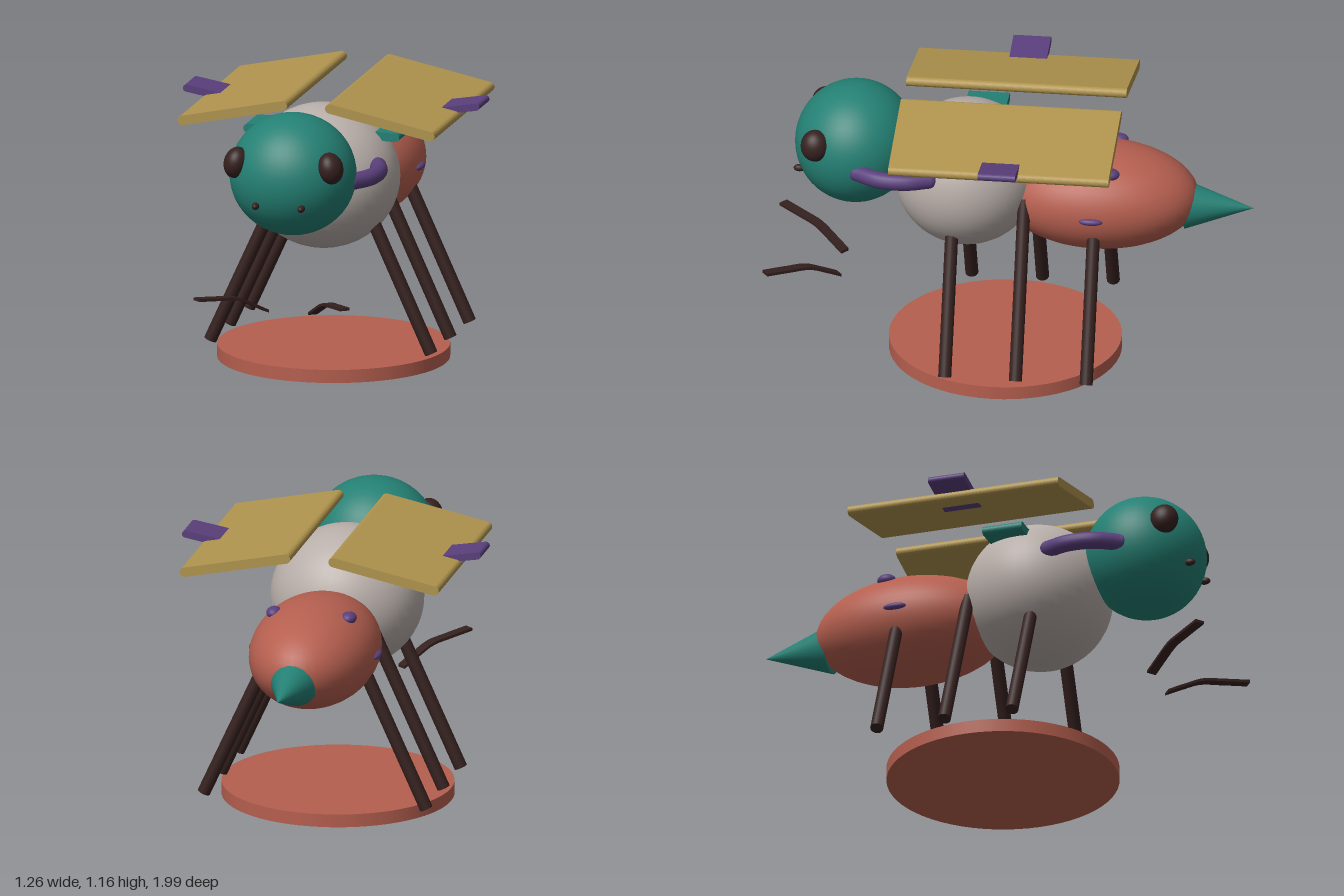
import * as THREE from 'three';

const mat = (name, color) => {
  const m = new THREE.MeshStandardMaterial({ color });
  m.name = name;
  return m;
};

export function createModel() {
  const teal = mat('teal', 0x248074);
  const clay = mat('clay red', 0xb55f4f);
  const purple = mat('purple', 0x5a3f7c);
  const gold = mat('gold', 0xb0944e);
  const dark = mat('dark brown', 0x35211f);
  const grey = mat('warm grey', 0xb8aea9);

  const model = new THREE.Group();
  model.name = 'insect';

  const add = (name, geo, material, pos = [0, 0, 0], rot = [0, 0, 0]) => {
    const mesh = new THREE.Mesh(geo, material);
    mesh.name = name;
    mesh.position.set(...pos);
    mesh.rotation.set(...rot);
    model.add(mesh);
    return mesh;
  };
  const ellipsoid = (rx, ry, rz, seg = 48) =>
    new THREE.SphereGeometry(1, seg, seg / 2).scale(rx, ry, rz);

  // Plate with half-round long edges, lying in x-z
  const plate = (w, t, d) => {
    const r = t / 2, h = w / 2 - r;
    const s = new THREE.Shape();
    s.moveTo(-h, -r);
    s.lineTo(h, -r);
    s.absarc(h, 0, r, -Math.PI / 2, Math.PI / 2, false);
    s.lineTo(-h, r);
    s.absarc(-h, 0, r, Math.PI / 2, Math.PI * 1.5, false);
    return new THREE.ExtrudeGeometry(s, { depth: d, bevelEnabled: false, curveSegments: 8 })
      .translate(0, 0, -d / 2);
  };

  // Straight rod between two points
  const rod = (name, a, b, radius, material) => {
    const p = new THREE.Vector3(...a), q = new THREE.Vector3(...b);
    const dir = q.clone().sub(p);
    const mesh = add(name, new THREE.CylinderGeometry(radius, radius, dir.length(), 20), material);
    mesh.position.copy(p).add(q).multiplyScalar(0.5);
    mesh.quaternion.setFromUnitVectors(new THREE.Vector3(0, 1, 0), dir.normalize());
  };

  // Base and body
  add('base', new THREE.CylinderGeometry(0.478, 0.478, 0.055, 64), clay, [0, 0.0275, 0.025]);
  add('thorax', ellipsoid(0.317, 0.3, 0.302), grey, [0, 0.8, 0.182]);
  add('head', ellipsoid(0.262, 0.253, 0.25), teal, [0, 0.912, 0.642]);
  add('abdomen', ellipsoid(0.262, 0.22, 0.415), clay, [0, 0.73, -0.36]);
  add('stinger', new THREE.ConeGeometry(0.1, 0.28, 32), teal, [0, 0.698, -0.86], [-Math.PI / 2, 0, 0]);

  // Antenna side profile: a thin curved band, extruded to its width
  const along = new THREE.CatmullRomCurve3([[0, 0.343], [0.07, 0.378], [0.15, 0.414], [0.24, 0.426], [0.354, 0.438]]
    .map(([u, y]) => new THREE.Vector3(u, y, 0))).getPoints(20);
  const band = new THREE.Shape([
    ...along.map(p => new THREE.Vector2(p.x, p.y - 0.006)),
    ...along.slice().reverse().map(p => new THREE.Vector2(p.x, p.y + 0.006)),
  ]);

  for (const s of [1, -1]) {
    const side = s > 0 ? 'left' : 'right';

    // Face
    add(side + 'Eye', ellipsoid(0.052, 0.066, 0.06, 32), dark, [s * 0.2, 0.98, 0.787], [0, 0, s * 0.25]);
    add(side + 'Nostril', ellipsoid(0.015, 0.015, 0.025, 16), dark, [s * 0.097, 0.82, 0.864]);
    const antenna = new THREE.ExtrudeGeometry(band, { depth: 0.042, bevelEnabled: false }).translate(0, 0, -0.021);
    add(side + 'Antenna', antenna, dark, [s * 0.1, 0, 0.7], [0, -Math.atan2(0.28, s * 0.215), 0]);

    // Wings and small side plates
    add(side + 'Wing', plate(0.475, 0.04, 0.91), gold, [s * 0.314, 1.1, -0.01], [0, 0, -s * 0.206]);
    add(side + 'WingTip', plate(0.235, 0.03, 0.155), purple, [s * 0.515, 1.08, -0.012], [0, 0, s * 0.17]);
    add(side + 'SidePlate', plate(0.16, 0.036, 0.17), teal, [s * 0.252, 0.985, 0.13], [0, 0, -s * 0.03]);

    // Curved arm with round ends
    const pts = [[0.268, 0.31], [0.298, 0.4], [0.292, 0.51], [0.238, 0.61]]
      .map(([x, z]) => new THREE.Vector3(s * x, 0.885, z));
    add(side + 'Arm', new THREE.TubeGeometry(new THREE.CatmullRomCurve3(pts), 24, 0.035, 16), purple);
    for (const p of [pts[0], pts[3]])
      add(side + 'ArmEnd', new THREE.SphereGeometry(0.035, 16, 12), purple, p.toArray());

    // Abdomen spots
    add(side + 'UpperSpot', ellipsoid(0.032, 0.025, 0.04, 24), purple, [s * 0.158, 0.9, -0.425]);
    add(side + 'LowerSpot', ellipsoid(0.02, 0.015, 0.05, 24), purple, [s * 0.258, 0.728, -0.357]);

    // Three legs
    for (const z of [0.22, -0.072, -0.364])
      rod(side + 'Leg', [s * 0.16, 0.765, z], [s * 0.47, 0.085, z], 0.027, dark);
  }
  return model;
}
